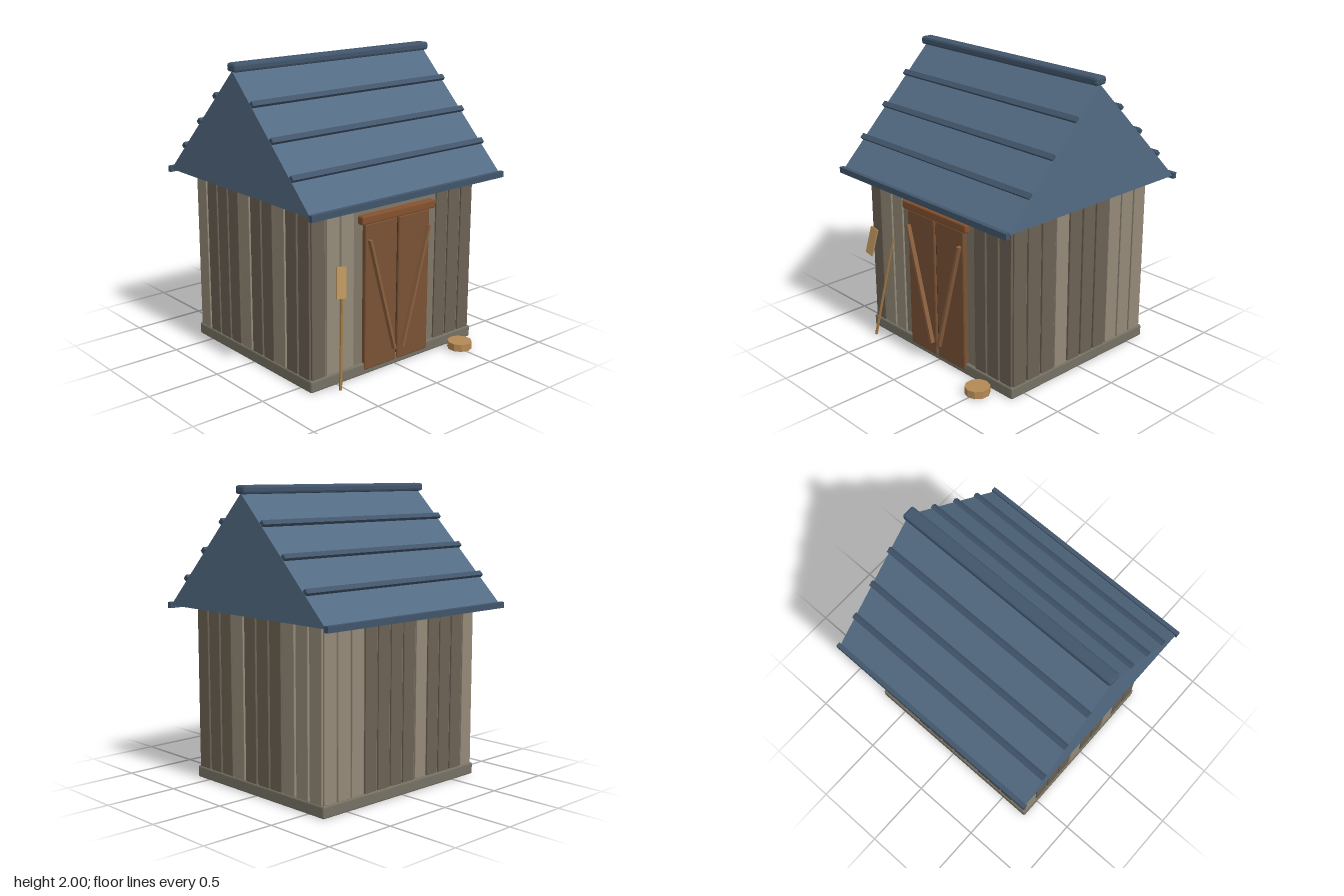
import * as THREE from 'three';
import { RoundedBoxGeometry } from 'three/addons/geometries/RoundedBoxGeometry.js';

const CZ = -0.016; // depth centre of the building

const mat = (color) => new THREE.MeshStandardMaterial({ color, flatShading: true });
const M = {
  wall: mat(0x807766), light: mat(0x948a78), dark: mat(0x6b6153), base: mat(0x757164),
  roof: mat(0x536b83), trim: mat(0x41556b), door: mat(0x7a5235), lintel: mat(0x84512f),
  brace: mat(0x8a5f3e), gap: mat(0x30261e), tool: mat(0xa17844), blade: mat(0xb8925c), stump: mat(0xb48a55),
};

function add(parent, name, geometry, material, x, y, z) {
  const mesh = new THREE.Mesh(geometry, material);
  mesh.name = name;
  mesh.position.set(x, y, z);
  parent.add(mesh);
  return mesh;
}
const box = (w, h, d) => new THREE.BoxGeometry(w, h, d);
const bevelBox = (w, h, d, r = 0.01) => new RoundedBoxGeometry(w, h, d, 1, r);

// One row of planks along local x, facing local +z; D dark, L light, '-' no plank
function plankWall(name, pattern, length, distance, angle) {
  const wall = new THREE.Group();
  wall.name = name;
  const pitch = length / pattern.length;
  [...pattern].forEach((c, i) => {
    if (c === '-') return;
    const x = (i + 0.5) * pitch - length / 2;
    add(wall, 'plank', bevelBox(pitch - 0.014, 1.11, 0.03, 0.004), c === 'L' ? M.light : M.dark, x, 0.635, distance);
  });
  wall.position.z = CZ;
  wall.rotation.y = angle;
  return wall;
}

export function createModel() {
  const model = new THREE.Group();
  model.name = 'shed';

  // Foundation and walls
  add(model, 'foundation', bevelBox(1.42, 0.08, 1.262), M.base, 0, 0.042, CZ);
  add(model, 'wallCore', box(1.38, 1.12, 1.22), M.wall, 0, 0.63, CZ);
  model.add(
    plankWall('frontPlanks', 'DLL------DDD', 1.4, 0.607, 0),
    plankWall('backPlanks', 'LLLDDDDLDDDL', 1.4, 0.607, Math.PI),
    plankWall('leftPlanks', 'DDDLDDDLLL', 1.23, 0.69, Math.PI / 2),
    plankWall('rightPlanks', 'LDDDLDDLDD', 1.23, 0.69, -Math.PI / 2),
  );

  // Double door with diagonal braces
  const door = new THREE.Group();
  door.name = 'door';
  model.add(door);
  add(door, 'doorGap', box(0.03, 0.96, 0.02), M.gap, 0, 0.53, 0.6);
  for (const s of [-1, 1]) {
    add(door, 'doorLeaf', bevelBox(0.27, 0.985, 0.05), M.door, s * 0.142, 0.528, 0.6);
    const brace = add(door, 'doorBrace', box(0.018, 0.82, 0.032), M.brace, s * 0.145, 0.522, 0.639);
    brace.rotation.z = -s * Math.atan2(0.22, 0.79);
  }
  add(door, 'lintel', bevelBox(0.63, 0.058, 0.06), M.lintel, 0, 1.049, 0.608);

  // Gabled roof
  const roof = new THREE.Group();
  roof.name = 'roof';
  roof.position.z = CZ;
  model.add(roof);
  const gable = new THREE.Shape([
    new THREE.Vector2(-0.76, 1.19), new THREE.Vector2(0.76, 1.19), new THREE.Vector2(0, 1.95),
  ]);
  const prism = new THREE.ExtrudeGeometry(gable, { depth: 1.62, bevelEnabled: false });
  prism.translate(0, 0, -0.81).rotateY(Math.PI / 2);
  add(roof, 'roofBody', prism, M.roof, 0, 0, 0);
  add(roof, 'ridgeCap', bevelBox(1.64, 0.056, 0.09, 0.016), M.trim, 0, 1.972, 0);
  for (const s of [-1, 1]) {
    add(roof, 'eaveTrim', box(1.64, 0.04, 0.03), M.trim, 0, 1.19, s * 0.77);
    for (let i = 0; i < 3; i++) {
      const z = 0.202 + i * 0.192;
      const batten = add(roof, 'roofBatten', box(1.625, 0.024, 0.036), M.trim, 0, 1.974 - z, s * z);
      batten.rotation.x = s * Math.PI / 4;
    }
  }

  // Leaning tool: slim handle and thin head
  const tool = new THREE.Group();
  tool.name = 'leaningTool';
  model.add(tool);
  const foot = new THREE.Vector3(-0.56, 0.02, 0.718);
  const tip = new THREE.Vector3(-0.458, 0.75, 0.612);
  const dir = tip.clone().sub(foot);
  const mid = foot.clone().add(tip).multiplyScalar(0.5);
  const handle = add(tool, 'toolHandle', new THREE.CylinderGeometry(0.008, 0.01, dir.length(), 6), M.tool, mid.x, mid.y, mid.z);
  handle.quaternion.setFromUnitVectors(new THREE.Vector3(0, 1, 0), dir.normalize());
  const head = add(tool, 'toolHead', box(0.074, 0.195, 0.009), M.blade, -0.557, 0.73, 0.72);
  head.rotation.set(-0.18, 0, -0.15);

  // Chopping stump
  add(model, 'stump', new THREE.CylinderGeometry(0.083, 0.083, 0.05, 10), M.stump, 0.502, 0.035, 0.718);

  return model;
}
